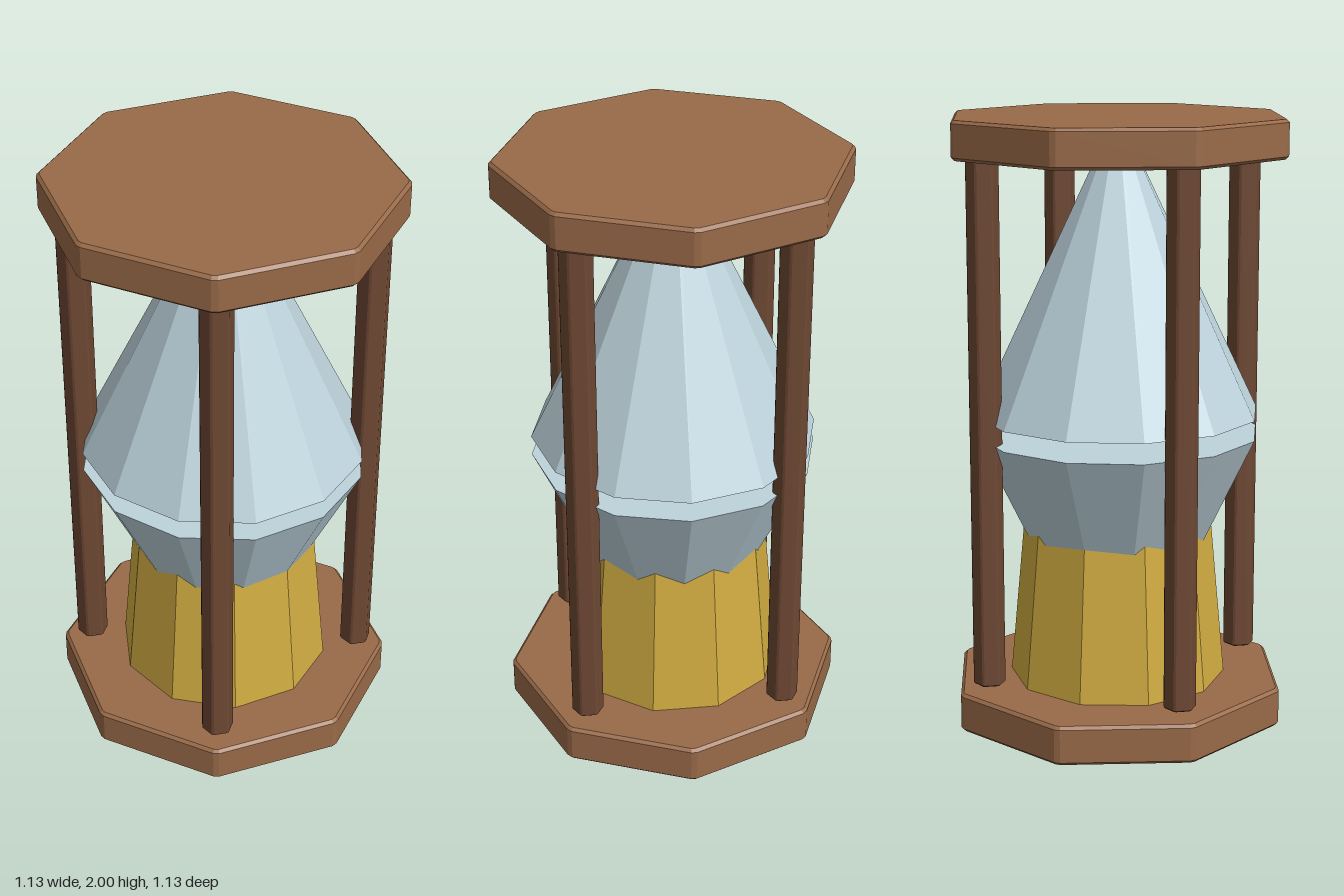
import * as THREE from 'three';

const mat = (name, color) => {
  const m = new THREE.MeshStandardMaterial({ color, flatShading: true });
  m.name = name;
  return m;
};

// Upright n-sided prism with chamfered corners and rims, from y0 to y1
function chamferedPrism(n, r, chamfer, y0, y1) {
  const half = chamfer / r;
  const pts = [];
  for (let i = 0; i < n; i++) {
    const a = Math.PI / 2 + (i / n) * Math.PI * 2;
    for (const s of [-half, half]) {
      pts.push(new THREE.Vector2(Math.cos(a + s) * r, Math.sin(a + s) * r));
    }
  }
  const geo = new THREE.ExtrudeGeometry(new THREE.Shape(pts), {
    depth: y1 - y0 - 2 * chamfer,
    bevelEnabled: true,
    bevelThickness: chamfer,
    bevelSize: chamfer,
    bevelOffset: -chamfer,
    bevelSegments: 1,
  });
  geo.rotateX(-Math.PI / 2);
  geo.translate(0, y0 + chamfer, 0);
  return geo;
}

// Tapered n-sided solid from y0 to y1
function frustum(n, rBottom, rTop, y0, y1) {
  const geo = new THREE.CylinderGeometry(rTop, rBottom, y1 - y0, n);
  geo.translate(0, (y0 + y1) / 2, 0);
  return geo;
}

export function createModel() {
  const wood = mat('wood', 0x996a48);
  const darkWood = mat('dark wood', 0x6e4833);
  const glass = mat('pale glass', 0xbdd3dc);
  const sand = mat('sand', 0xd2ad42);

  const model = new THREE.Group();
  model.name = 'hourglass';
  const add = (name, geo, material, x = 0, z = 0) => {
    const mesh = new THREE.Mesh(geo, material);
    mesh.name = name;
    mesh.position.set(x, 0, z);
    model.add(mesh);
  };

  // Octagonal end plates
  add('basePlate', chamferedPrism(8, 0.565, 0.01, 0, 0.13), wood);
  add('topPlate', chamferedPrism(8, 0.565, 0.01, 1.875, 2), wood);

  // Four hexagonal posts
  const post = chamferedPrism(6, 0.052, 0.004, 0.155, 1.9);
  for (const sx of [-1, 1]) {
    for (const sz of [-1, 1]) {
      const side = sx > 0 ? 'left' : 'right';
      add(side + (sz > 0 ? 'Front' : 'Back') + 'Post', post, darkWood, sx * 0.33, sz * 0.33);
    }
  }

  // Two faceted glass bulbs, wide rims facing each other
  add('upperBulb', frustum(12, 0.47, 0.03, 1.03, 1.95), glass);
  add('lowerBulb', frustum(12, 0.03, 0.47, 0.05, 0.964), glass);

  // Sand heap and falling stream
  add('sandHeap', frustum(10, 0.362, 0.308, 0.11, 0.7), sand);
  add('sandStream', frustum(6, 0.03, 0.03, 0.7, 1.3), sand);

  return model;
}
